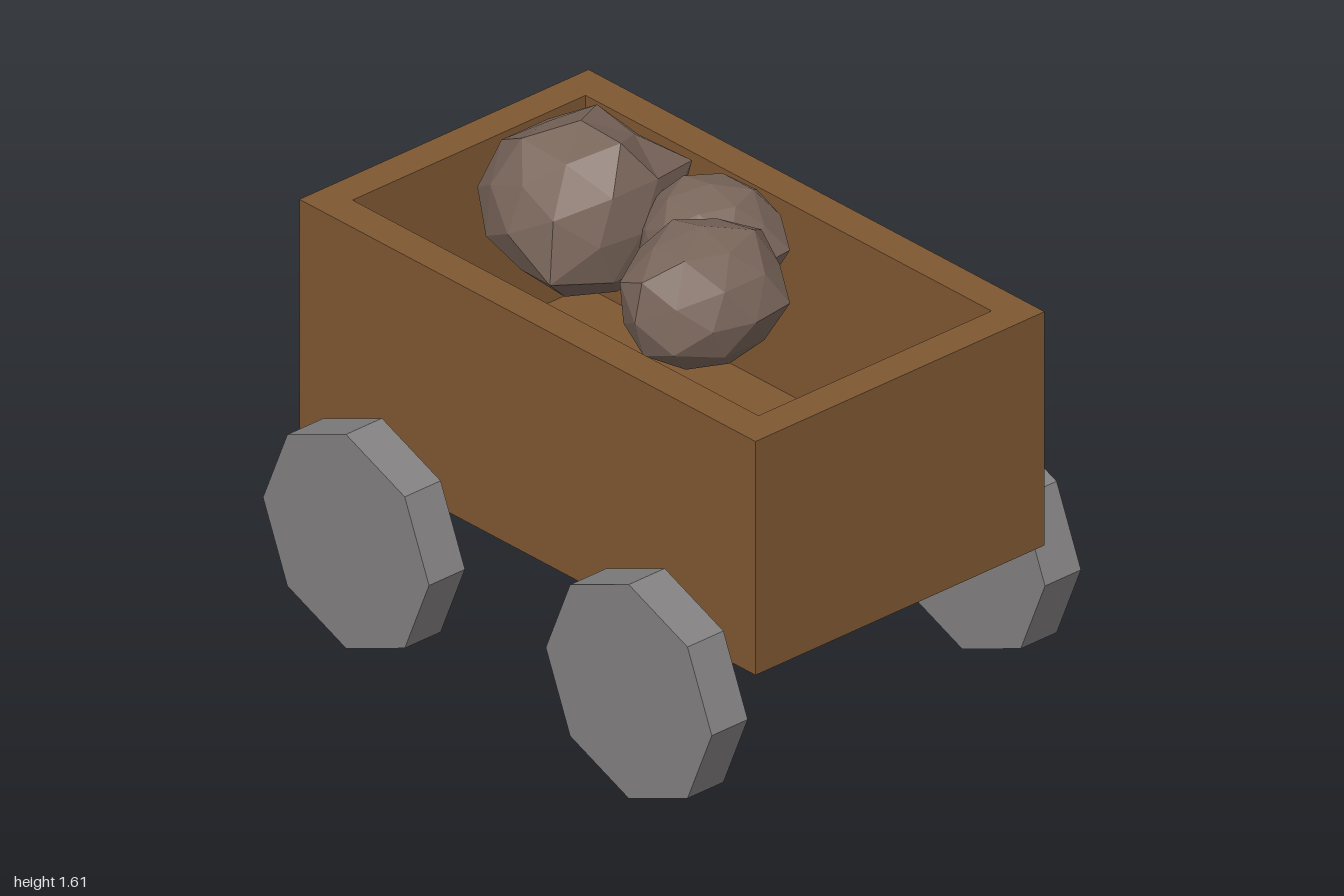
import * as THREE from 'three';

function material(name, color, extra = {}) {
  const m = new THREE.MeshStandardMaterial({ color, ...extra });
  m.name = name;
  return m;
}

function add(parent, name, geometry, mat, x = 0, y = 0, z = 0) {
  const mesh = new THREE.Mesh(geometry, mat);
  mesh.name = name;
  mesh.position.set(x, y, z);
  parent.add(mesh);
  return mesh;
}

const rect = (Type, w, d) => new Type([[-w, -d], [w, -d], [w, d], [-w, d]].map(p => new THREE.Vector2(...p)));

// Faceted boulder: an 80-sided ball, jittered per corner, with chosen corners pushed in or out
function boulder(size, seed, pushes) {
  const geo = new THREE.IcosahedronGeometry(1, 1);
  const pos = geo.attributes.position;
  const v = new THREE.Vector3();
  for (let i = 0; i < pos.count; i++) {
    v.fromBufferAttribute(pos, i);
    const wave = Math.sin(Math.round(v.x * 50) * 12.9 + Math.round(v.y * 50) * 78.2 + Math.round(v.z * 50) * 37.7 + seed);
    let scale = 1 + 0.05 * wave;
    for (const [x, y, z, f] of pushes) {
      if (Math.hypot(v.x - x, v.y - y, v.z - z) < 0.1) scale = f;
    }
    v.multiplyScalar(scale);
    pos.setXYZ(i, v.x * size[0], v.y * size[1], v.z * size[2]);
  }
  geo.computeVertexNormals();
  return geo;
}

export function createModel() {
  const model = new THREE.Group();
  model.name = 'loadedCart';
  const wood = material('brown wood', 0x7f5832, { side: THREE.DoubleSide, flatShading: true });
  const metal = material('grey wheel', 0x838182, { flatShading: true });
  const stone = material('brown stone', 0x7a665b, { flatShading: true });

  const W = 1, D = 0.583, TOP = 1.31, FLOOR = 0.66, BOTTOM = 0.515;

  // Thick walled tub
  const outline = rect(THREE.Shape, W, D);
  outline.holes.push(rect(THREE.Path, 0.89, 0.47));
  const walls = new THREE.ExtrudeGeometry(outline, { depth: TOP - FLOOR, bevelEnabled: false });
  walls.rotateX(-Math.PI / 2);
  add(model, 'tubWalls', walls, wood, 0, FLOOR, 0);
  add(model, 'tubFloor', new THREE.PlaneGeometry(2 * W, 2 * D).rotateX(-Math.PI / 2), wood, 0, FLOOR, 0);

  // Thin skirt below the floor, open underneath
  const h = FLOOR - BOTTOM, mid = (FLOOR + BOTTOM) / 2;
  for (const s of [1, -1]) {
    add(model, 'longSkirt', new THREE.PlaneGeometry(2 * W, h), wood, 0, mid, s * D).rotation.y = s > 0 ? 0 : Math.PI;
    add(model, 'endSkirt', new THREE.PlaneGeometry(2 * D, h), wood, s * W, mid, 0).rotation.y = s * Math.PI / 2;
  }

  // Eight-sided wheels
  const wheel = new THREE.CylinderGeometry(0.364, 0.364, 0.145, 8).rotateX(Math.PI / 2);
  for (const x of [-0.62, 0.62]) {
    for (const z of [-0.672, 0.672]) {
      add(model, z > 0 ? 'frontWheel' : 'backWheel', wheel, metal, x, 0.364, z);
    }
  }

  // Boulders in the tub
  const load = new THREE.Group();
  load.name = 'boulders';
  model.add(load);
  add(load, 'largeBoulder', boulder([0.29, 0.275, 0.29], 1, [
    [0, 1, 0, 1], [0.526, 0.851, 0, 1.15], [-0.526, 0.851, 0, 0.92],
    [1, 0, 0, 0.93], [-1, 0, 0, 0.96], [0, 0, 1, 1.02], [0, 0, -1, 0.97],
    [0.5, 0.309, 0.809, 1.1], [0.5, -0.309, 0.809, 1.23],
    [0.5, 0.309, -0.809, 1.22], [0.5, -0.309, -0.809, 1.05],
    [-0.851, 0, 0.526, 1.1], [-0.5, 0.309, -0.809, 1.06], [0.851, 0, -0.526, 0.95],
  ]), stone, -0.4, 1.33, 0);
  add(load, 'smallBoulder', boulder([0.215, 0.19, 0.22], 2.6, [
    [0, 1, 0, 1], [0, 0, -1, 1], [0, 0, 1, 1], [0.851, 0, -0.526, 1.13], [0.851, 0, 0.526, 1.12],
    [-1, 0, 0, 0.88], [-0.851, 0, -0.526, 1], [0.526, 0.851, 0, 0.97],
  ]), stone, 0, 1.305, -0.155);
  add(load, 'mediumBoulder', boulder([0.24, 0.23, 0.27], 4.1, [
    [0, 1, 0, 1], [0, 0, 1, 1], [0, 0, -1, 1], [1, 0, 0, 1], [-1, 0, 0, 1],
    [0.851, 0, -0.526, 1.08], [-0.851, 0, 0.526, 0.95], [0.851, 0, 0.526, 0.97],
    [0.526, 0.851, 0, 0.96],
  ]), stone, 0.25, 1.325, 0.11);

  return model;
}
